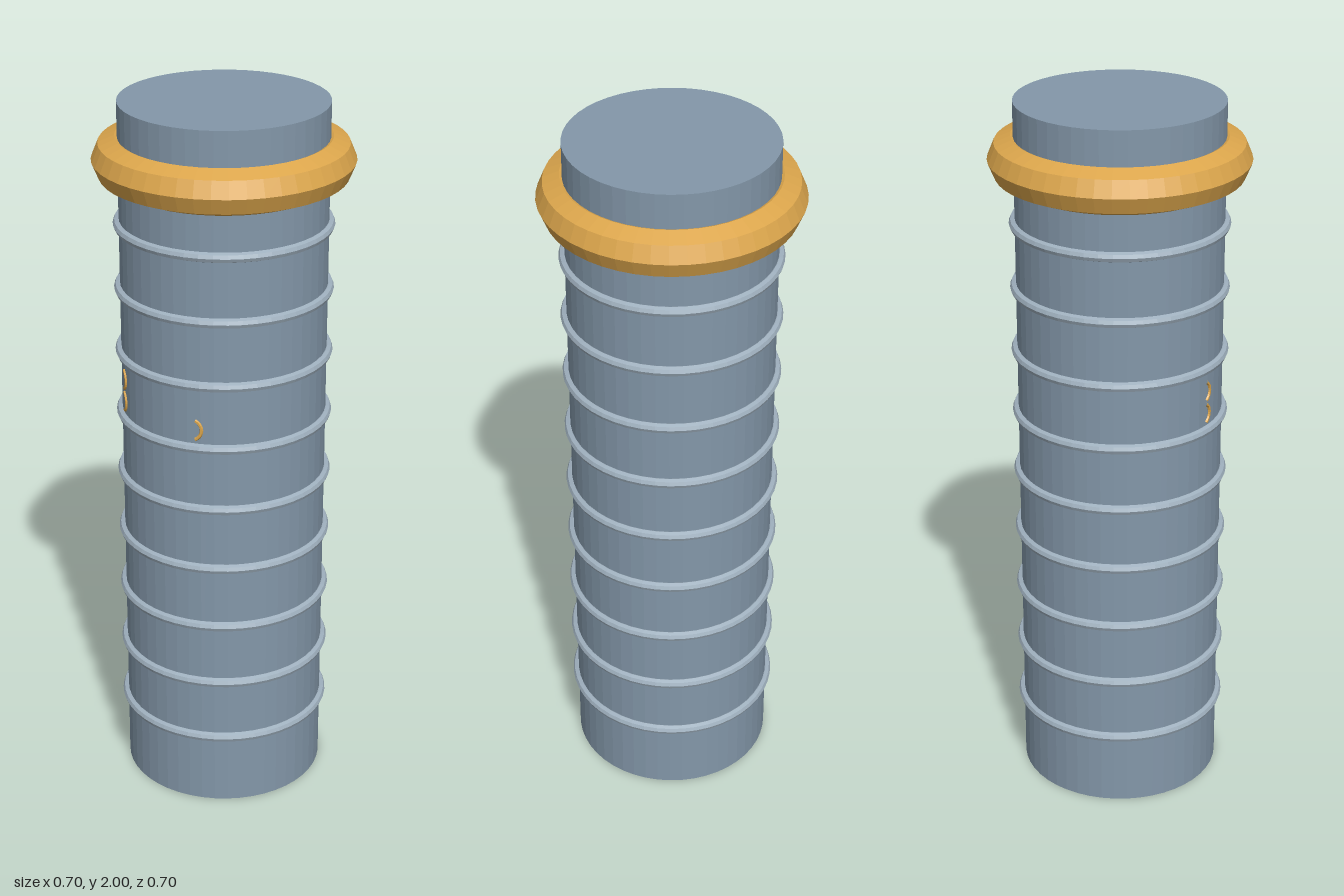
import * as THREE from 'three';

const material = (name, color) => {
  const m = new THREE.MeshStandardMaterial({ color });
  m.name = name;
  return m;
};

export function createModel() {
  const steel = material('blue grey steel', 0x8397a9);
  const silver = material('pale steel', 0x9fb0be);
  const gold = material('gold', 0xdca64c);
  const model = new THREE.Group();
  model.name = 'ribbedGrip';
  const R = 0.282;

  const add = (name, geometry, mat, y = 0, parent = model) => {
    // separate faces give every facet its own normal
    const flat = geometry.toNonIndexed();
    flat.computeVertexNormals();
    const mesh = new THREE.Mesh(flat, mat);
    mesh.name = name;
    mesh.position.y = y;
    parent.add(mesh);
    return mesh;
  };

  // Main shaft
  add('shaft', new THREE.CylinderGeometry(R, R, 2, 48), steel, 1);

  // Nine evenly spaced ribs
  for (let i = 0; i < 9; i++) {
    const rib = new THREE.TorusGeometry(0.284, 0.014, 8, 48).rotateX(Math.PI / 2);
    add('rib' + (i + 1), rib, silver, 0.213 + i * 0.1815);
  }

  // Faceted collar near the top
  add('collar', new THREE.TorusGeometry(0.289, 0.063, 8, 48).rotateX(Math.PI / 2), gold, 1.843);

  // Small curved inlays just proud of the shaft's front
  const inlay = (name, x, y) => {
    const pivot = new THREE.Group();
    pivot.name = name;
    pivot.rotation.y = Math.asin(x / R);
    model.add(pivot);
    const arc = new THREE.TorusGeometry(0.03, 0.005, 6, 10, 2.3).rotateZ(-1.15);
    add(name + 'Arc', arc.translate(-0.02, 0, R), gold, y, pivot);
  };
  inlay('rightInlayLower', -0.14, 1.17);
  inlay('rightInlayUpper', -0.14, 1.235);
  inlay('leftInlay', 0.135, 1.173);

  return model;
}
